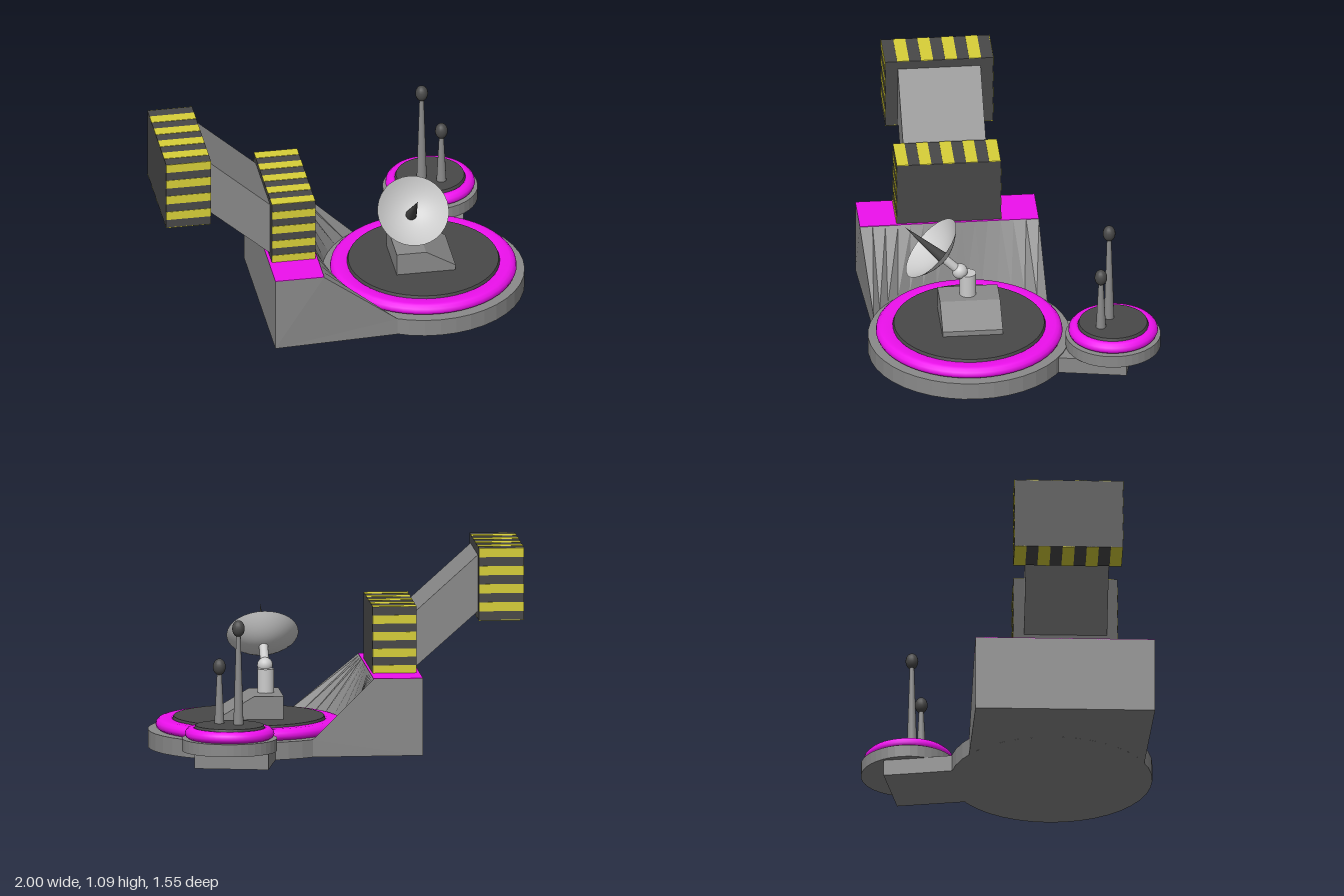
import * as THREE from 'three';

const mat = (color, flat = true) =>
  new THREE.MeshStandardMaterial({ color, flatShading: flat, side: THREE.DoubleSide });
const GREY = 0x8a8a8a, DARK = 0x484848, MAGENTA = 0xee10ee, YELLOW = 0xd8d038, LIGHT = 0xcccccc;

export function createModel() {
  const model = new THREE.Group();

  function add(name, geo, color, pos = [0, 0, 0], flat = true, parent = model) {
    const mesh = new THREE.Mesh(geo, mat(color, flat));
    mesh.name = name;
    mesh.position.set(...pos);
    parent.add(mesh);
    return mesh;
  }
  const box = (x0, x1, y0, y1, z0, z1) =>
    new THREE.BoxGeometry(x1 - x0, y1 - y0, z1 - z0)
      .translate((x0 + x1) / 2, (y0 + y1) / 2, (z0 + z1) / 2);

  // extrude an x/y outline along z
  function prism(pts, z0, z1) {
    const shape = new THREE.Shape(pts.map(p => new THREE.Vector2(...p)));
    return new THREE.ExtrudeGeometry(shape, { depth: z1 - z0, bevelEnabled: false }).translate(0, 0, z0);
  }

  // landing pad: grey plinth, rounded magenta ring and dark deck
  function pad(name, cx, cz, r, y0, y1, ringR, deckR, ringTop) {
    const g = new THREE.Group();
    g.name = name;
    g.position.set(cx, 0, cz);
    model.add(g);
    add('padPlinth', new THREE.CylinderGeometry(r, r, y1 - y0, 40), GREY, [0, (y0 + y1) / 2, 0], true, g);
    const h = ringTop - y1, b = 0.018;
    const profile = [[ringR - 0.02, y1], [ringR - 0.006, y1 + h * 0.15], [ringR, y1 + h * 0.4],
      [ringR - 0.004, y1 + h * 0.68], [ringR - b, y1 + h * 0.93], [ringR - b * 2, ringTop],
      [deckR, ringTop], [deckR - 0.01, ringTop - 0.01]];
    add('padRing', new THREE.LatheGeometry(profile.map(p => new THREE.Vector2(...p)), 48), MAGENTA, [0, 0, 0], false, g);
    add('padDeck', new THREE.CylinderGeometry(deckR - 0.012, deckR, 0.03, 48), DARK, [0, ringTop - 0.004, 0], true, g);
  }
  const CX = 0.457, CZ = 0.233, R = 0.542;
  pad('mainPad', CX, CZ, R, 0, 0.095, 0.5, 0.415, 0.155);
  pad('smallPad', 0.627, -0.525, 0.255, 0.088, 0.155, 0.24, 0.195, 0.215);

  // bridge under the small pad
  const bridge = prism([[0.34, 0.2], [0.4, 0.5], [0.43, 0.665], [0.82, 0.58], [0.75, 0.2]], 0, 0.09);
  add('padBridge', bridge.rotateX(-Math.PI / 2), GREY);

  // ramp: slices running from the block to the rim of the main pad
  const N = 14, pos = [], slices = [];
  for (let i = 0; i <= N; i++) {
    const t = i / N, a = -0.975 + t * 2.115, z = -0.2 + t * 0.962;
    const x = CX - R * Math.cos(a), zr = CZ + R * Math.sin(a);
    slices.push([[-0.44, 0, z], [-0.44, 0.415, z], [-0.175, 0.415, z], [x, 0.095, zr], [x, 0, zr]]);
  }
  for (let i = 0; i < N; i++)
    for (let j = 0; j < 5; j++) {
      const k = (j + 1) % 5, A = slices[i], B = slices[i + 1];
      pos.push(...A[j], ...B[j], ...B[k], ...A[j], ...B[k], ...A[k]);
    }
  for (let j = 1; j < 4; j++) {
    const A = slices[0], B = slices[N];
    pos.push(...A[0], ...A[j], ...A[j + 1], ...B[0], ...B[j + 1], ...B[j]);
  }
  const rampGeo = new THREE.BufferGeometry();
  rampGeo.setAttribute('position', new THREE.Float32BufferAttribute(pos, 3));
  rampGeo.computeVertexNormals();
  add('ramp', rampGeo, GREY);
  add('rampTop', box(-0.44, -0.175, 0.414, 0.418, -0.2, 0.762), MAGENTA);

  // hazard-striped block: dark core with yellow bands on front, back, top and bottom
  function stripedBlock(name, x0, x1, y0, y1, z0, z1, topYellow) {
    const g = new THREE.Group(), e = 0.002;
    g.name = name;
    model.add(g);
    add('blockCore', box(x0, x1, y0, y1, z0, z1), DARK, [0, 0, 0], true, g);
    const sy = (y1 - y0) / 8, sz = (z1 - z0) / 9;
    for (let i = topYellow ? 0 : 1; i < 8; i += 2)
      for (const z of [z0, z1])
        add('wallStripe', box(x0, x1, y1 - (i + 1) * sy, y1 - i * sy, z - e, z + e), YELLOW, [0, 0, 0], true, g);
    for (let i = 0; i < 9; i++) {
      const y = (i % 2 === 1) === topYellow ? y1 : y0;
      add('flatStripe', box(x0, x1, y - e, y + e, z0 + i * sz, z0 + (i + 1) * sz), YELLOW, [0, 0, 0], true, g);
    }
  }
  stripedBlock('lowerBlock', -0.424, -0.188, 0.415, 0.775, 0.003, 0.562, false);
  stripedBlock('upperBlock', -1, -0.757, 0.698, 1.088, -0.008, 0.572, true);

  // sloping passage between the blocks
  add('passage', prism([[-0.76, 0.74], [-0.42, 0.44], [-0.42, 0.74], [-0.76, 1.045]], 0.06, 0.505), GREY);

  // dish antenna on its wedge-shaped foot
  add('dishFoot', prism([[0.285, 0.15], [0.605, 0.15], [0.605, 0.195], [0.445, 0.29], [0.285, 0.29]], 0.065, 0.388), GREY);
  add('dishPost', new THREE.CylinderGeometry(0.045, 0.045, 0.13, 24), LIGHT, [0.367, 0.352, 0.232], false);
  add('dishJoint', new THREE.SphereGeometry(0.042, 20, 14), LIGHT, [0.367, 0.43, 0.275], false);
  const dish = new THREE.Group();
  dish.name = 'dish';
  dish.position.set(0.367, 0.43, 0.275);
  dish.rotation.x = 0.8;
  model.add(dish);
  add('dishArm', new THREE.CylinderGeometry(0.024, 0.024, 0.13, 16), LIGHT, [0, 0.065, 0], false, dish);
  const bowl = [];
  for (let i = 0; i <= 10; i++) {
    const r = 0.193 * i / 10;
    bowl.push(new THREE.Vector2(r, 0.125 + 0.09 * (r / 0.193) ** 2));
  }
  add('dishBowl', new THREE.LatheGeometry(bowl, 32), LIGHT, [0, 0, 0], false, dish);
  add('dishSpike', new THREE.ConeGeometry(0.03, 0.285, 16), DARK, [0, 0.272, 0], false, dish);

  // mast antennas with oval tips
  for (const [x, z, top] of [[0.578, -0.508, 0.743], [0.676, -0.455, 0.53]]) {
    const h = top - 0.2;
    add('mast', new THREE.CylinderGeometry(0.011, 0.028, h, 16), GREY, [x, 0.2 + h / 2, z], false);
    add('mastTip', new THREE.SphereGeometry(0.034, 16, 12).scale(1, 1.32, 1), DARK, [x, top, z], false);
  }
  return model;
}
